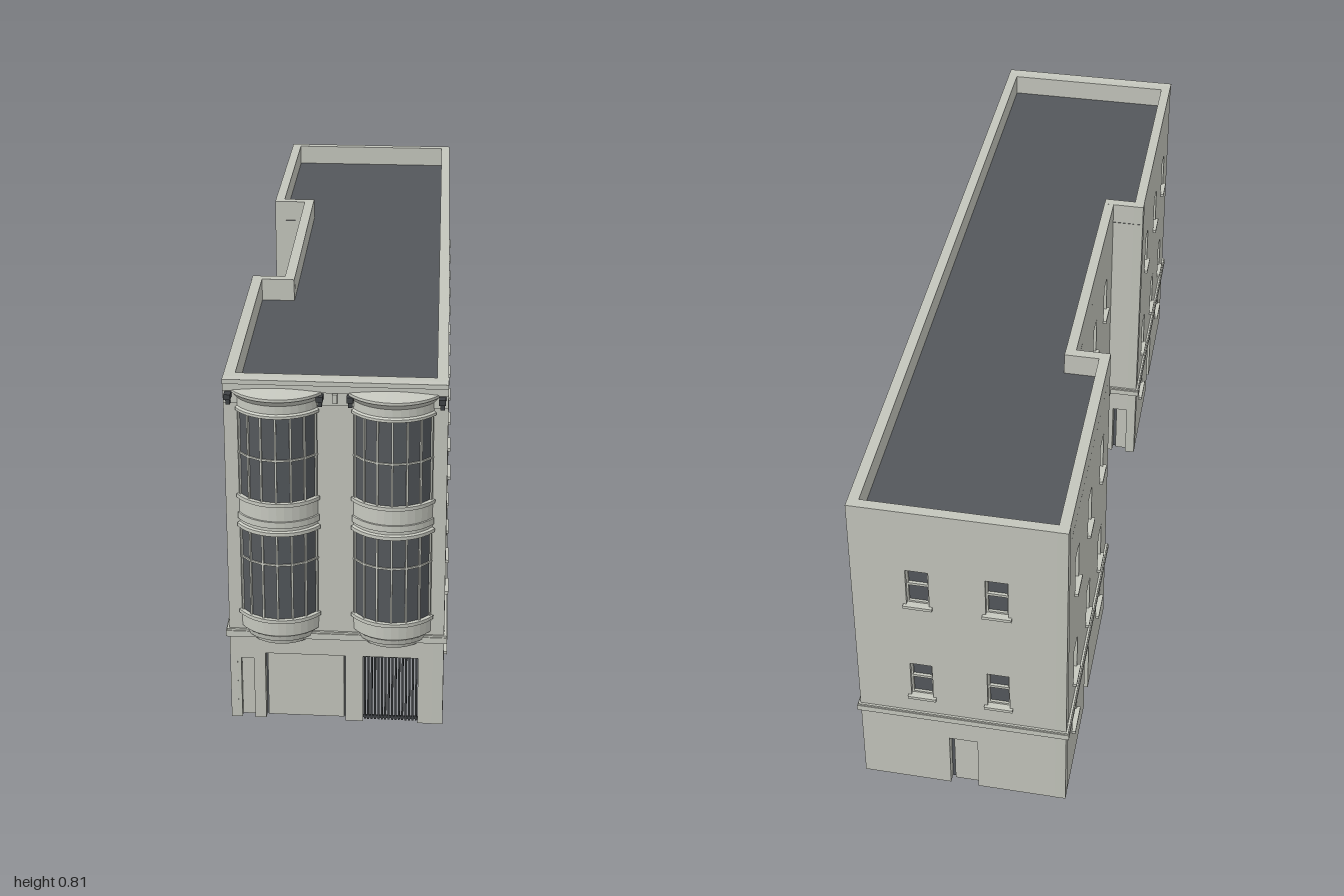
import * as THREE from 'three';

const H = 0.806, T = 0.024, FRONT = 0.94;
const mat = (name, color) => {
  const m = new THREE.MeshStandardMaterial({ color, side: THREE.DoubleSide, flatShading: true });
  m.name = name;
  return m;
};

export function createModel() {
  const stone = mat('stone', 0xc3c5bc);
  const trim = mat('trim', 0xc6c8bf);
  const glass = mat('glass', 0x54585c);
  const roofing = mat('roofing', 0x54575b);
  const iron = mat('iron', 0x3e4144);

  const model = new THREE.Group();
  model.name = 'terraceBuilding';

  const add = (parent, name, geo, m) => {
    const mesh = new THREE.Mesh(geo, m);
    mesh.name = name;
    parent.add(mesh);
    return mesh;
  };
  const box = (parent, name, m, w, h, d, x, y, z) => {
    const mesh = add(parent, name, new THREE.BoxGeometry(w, h, d), m);
    mesh.position.set(x, y, z);
    return mesh;
  };

  // Sash or ground-floor window set into an opening
  const addWindow = (g, { u, y, w, h }) => {
    const win = new THREE.Group();
    win.name = 'window';
    win.position.set(u, y + h / 2, 0);
    g.add(win);
    box(win, 'pane', glass, w, h, 0.004, 0, 0, -0.017);
    for (const s of [-1, 1]) {
      box(win, 'stile', trim, 0.004, h, 0.008, s * (w / 2 - 0.002), 0, -0.013);
      box(win, 'rail', trim, w, 0.004, 0.008, 0, s * (h / 2 - 0.002), -0.013);
    }
    if (h > 0.08) box(win, 'meetingRail', trim, w, 0.006, 0.008, 0, 0.004, -0.012);
    box(win, 'sill', trim, w + 0.014, 0.007, 0.018, 0, -h / 2 - 0.0035, -0.001);
  };

  // Door leaf in front of a dark backing, leaving a shadow gap
  const addDoor = (g, { u, w, h, gate, wide }) => {
    if (gate) {
      const n = 16;
      for (let i = 0; i < n; i++)
        box(g, 'gateBar', iron, 0.0042, h, 0.005, u - w / 2 + ((i + 0.5) * w) / n, h / 2, -0.012);
      for (const y of [0.006, h - 0.004]) box(g, 'gateRail', iron, w, 0.005, 0.006, u, y, -0.013);
      return;
    }
    box(g, 'doorBacking', glass, w, h, 0.003, u, h / 2, -T + 0.002);
    box(g, wide ? 'garageDoor' : 'doorLeaf', stone, w - 0.008, h - 0.002, 0.006,
      u + (wide ? 0 : 0.004), h / 2, -T + 0.007);
  };

  // One wall from a to b; u runs along it, outside is local +z
  const wall = (name, a, b, { doors = [], windows = [], ext = [0, 0] } = {}) => {
    const dx = b[0] - a[0], dz = b[1] - a[1], L = Math.hypot(dx, dz);
    const g = new THREE.Group();
    g.name = name;
    g.position.set(a[0], 0, a[1]);
    g.rotation.y = Math.atan2(-dz, dx);
    model.add(g);
    const s = new THREE.Shape();
    s.moveTo(-ext[0], 0);
    for (const d of doors) {
      s.lineTo(d.u - d.w / 2, 0);
      s.lineTo(d.u - d.w / 2, d.h);
      s.lineTo(d.u + d.w / 2, d.h);
      s.lineTo(d.u + d.w / 2, 0);
    }
    s.lineTo(L + ext[1], 0);
    s.lineTo(L + ext[1], H);
    s.lineTo(-ext[0], H);
    s.closePath();
    for (const { u, y, w, h } of windows) {
      const p = new THREE.Path();
      p.moveTo(u - w / 2, y);
      p.lineTo(u - w / 2, y + h);
      p.lineTo(u + w / 2, y + h);
      p.lineTo(u + w / 2, y);
      p.closePath();
      s.holes.push(p);
    }
    const geo = new THREE.ExtrudeGeometry(s, { depth: T, bevelEnabled: false });
    geo.translate(0, 0, -T);
    add(g, name + 'Face', geo, stone);
    box(g, 'stringCourse', trim, L + 0.014, 0.014, 0.012, L / 2, 0.211, 0.001);
    box(g, 'stringCourseCap', trim, L + 0.01, 0.006, 0.01, L / 2, 0.219, 0);
    windows.forEach((w) => addWindow(g, w));
    doors.forEach((d) => addDoor(g, d));
    return g;
  };

  const upper = (u) => [
    { u, y: 0.548, w: 0.05, h: 0.097 },
    { u, y: 0.272, w: 0.05, h: 0.097 },
  ];
  const ground = (u) => ({ u, y: 0.126, w: 0.064, h: 0.066 });
  const door = (u, w = 0.065, h = 0.146) => ({ u, w, h });

  // Footprint, front-left corner first
  const P = [[-0.207, FRONT], [0.258, FRONT], [0.21, -0.993], [-0.26, -0.993],
    [-0.245, -0.365], [-0.165, -0.365], [-0.149, 0.278], [-0.226, 0.278]];

  const front = wall('frontWall', P[0], P[1], {
    doors: [door(0.034, 0.036, 0.148), { u: 0.1645, w: 0.175, h: 0.162, wide: true },
      { u: 0.35, w: 0.12, h: 0.162, gate: true }],
  });

  const bays = Array.from({ length: 12 }, (_, i) => FRONT - 0.803 + i * 0.151);
  wall('longSideWall', P[1], P[2], {
    doors: [door(0.968)],
    windows: bays.flatMap((u, i) => [...upper(u), ...(i === 5 || i === 6 ? [] : [ground(u)])]),
  });
  wall('backWall', P[2], P[3], { doors: [door(0.235)], windows: [0.145, 0.318].flatMap(upper) });

  // Three stretches of the stepped side: door in the middle, windows either side
  const stretch = (name, i, us) => wall(name, P[i], P[(i + 1) % 8], {
    doors: [door(us[1])],
    windows: [...us.flatMap(upper), ground(us[0]), ground(us[2])],
  });
  stretch('rearBlockSideWall', 3, [0.13, 0.32, 0.51]);
  wall('rearStepWall', P[4], P[5], { ext: [0, T] });
  stretch('recessWall', 5, [0.14, 0.33, 0.52]);
  wall('frontStepWall', P[6], P[7], { ext: [T, 0], doors: [door(0.04, 0.05)] });
  stretch('frontBlockSideWall', 7, [0.13, 0.335, 0.53]);

  // Sunken flat roof
  const roof = new THREE.ShapeGeometry(new THREE.Shape(P.map(([x, z]) => new THREE.Vector2(x, -z * 0.995))));
  roof.rotateX(-Math.PI / 2);
  add(model, 'roof', roof, roofing).position.y = 0.754;

  // Front cornice and the frieze line below it
  const c = 0.2325;
  box(front, 'cornice', trim, 0.465, 0.01, 0.02, c, 0.801, 0.006);
  box(front, 'corniceStep', trim, 0.465, 0.018, 0.012, c, 0.788, 0.004);
  box(front, 'frieze', trim, 0.465, 0.03, 0.004, c, 0.764, 0.001);
  box(front, 'keyBlock', trim, 0.01, 0.02, 0.012, 0.232, 0.766, 0.004);
  for (const x of [-0.196, -0.006, 0.057, 0.246]) {
    box(front, 'bracketTop', iron, 0.014, 0.012, 0.024, x + 0.207, 0.769, 0.011);
    box(front, 'bracketFoot', iron, 0.009, 0.014, 0.014, x + 0.207, 0.756, 0.006);
  }

  // Curved two-storey bay windows
  const A = THREE.MathUtils.degToRad(58);
  const curved = (g, name, m, pts, seg = 12) => add(g, name,
    new THREE.LatheGeometry(pts.map(([r, y]) => new THREE.Vector2(r, y)), seg, -A, 2 * A), m);
  for (const x of [-0.095, 0.146]) {
    const bay = new THREE.Group();
    bay.name = 'bayWindow';
    bay.position.set(x, 0, 0.89);
    model.add(bay);
    curved(bay, 'bayCorbel', trim, [[0.05, 0.2], [0.074, 0.2], [0.077, 0.211], [0.086, 0.213], [0.089, 0.224],
      [0.097, 0.231], [0.098, 0.262], [0.104, 0.264], [0.104, 0.272], [0.094, 0.272]]);
    curved(bay, 'bayBand', trim, [[0.094, 0.47], [0.104, 0.47], [0.104, 0.478], [0.098, 0.48], [0.098, 0.488],
      [0.102, 0.488], [0.102, 0.502], [0.098, 0.502], [0.098, 0.535], [0.104, 0.537], [0.104, 0.545], [0.094, 0.545]]);
    curved(bay, 'bayCornice', trim, [[0.094, 0.735], [0.103, 0.735], [0.103, 0.741], [0.098, 0.744],
      [0.098, 0.762], [0.106, 0.772], [0.11, 0.775], [0.11, 0.781], [0.05, 0.788]]);
    for (const [y0, y1, yt] of [[0.27, 0.472, 0.4], [0.543, 0.737, 0.64]]) {
      curved(bay, 'bayGlass', glass, [[0.096, y0], [0.096, y1]], 6);
      curved(bay, 'transom', trim, [[0.094, yt - 0.002], [0.099, yt - 0.002], [0.099, yt + 0.002], [0.094, yt + 0.002]], 6);
      for (let i = 0; i < 7; i++) {
        const a = ((i - 3) / 3) * A * 0.96;
        box(bay, 'mullion', trim, 0.004, y1 - y0, 0.006, Math.sin(a) * 0.096, (y0 + y1) / 2, Math.cos(a) * 0.096)
          .rotation.y = a;
      }
    }
  }
  return model;
}
